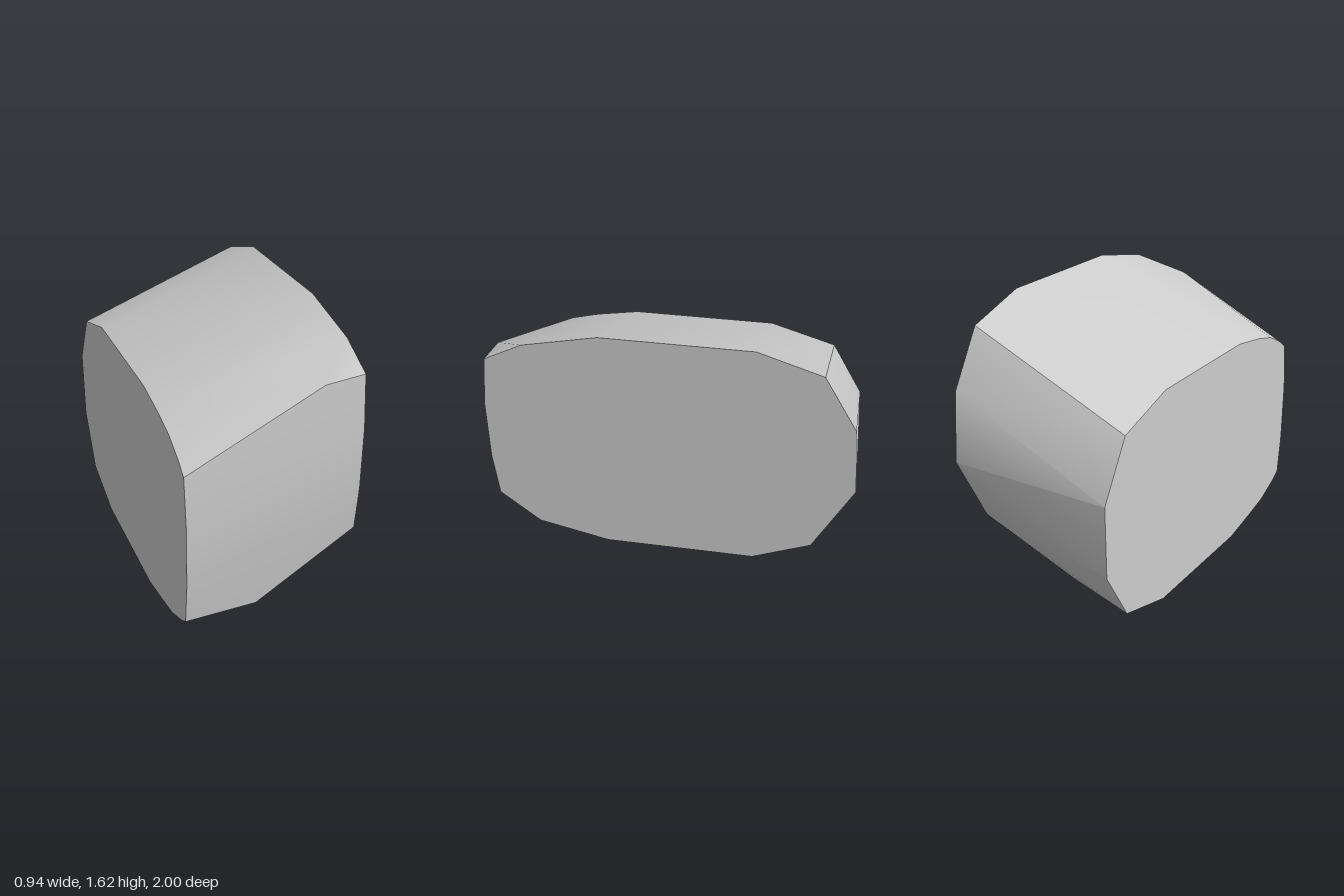
import * as THREE from 'three';
import { ConvexGeometry } from 'three/addons/geometries/ConvexGeometry.js';
import { toCreasedNormals } from 'three/addons/utils/BufferGeometryUtils.js';

// Cross-sections as [z, y] at a given x: a slanted block with cut corners
const sections = [
  { x: -0.47, points: [
    [0.36, 1.25], [0.6, 1.21], [0.76, 1.17], [0.9, 1.1], [0.97, 1.05], [1, 0.78], [1, 0.43],
    [0.975, 0.185], [0.91, 0.145], [0.76, 0.08], [0.6, 0.045], [0.36, 0],
    [-0.44, 0], [-0.8, 0.11], [-0.98, 0.42], [-0.99, 0.83], [-0.81, 1.14], [-0.44, 1.25],
  ] },
  // bulges of the lower faces
  { x: -0.08, points: [[0.975, 0.2], [0.76, 0.14], [0.36, 0.09], [-0.44, 0.09], [-0.74, 0.16]] },
  // bulge of the upper front edge and the lower back corner
  { x: 0.26, points: [[0.965, 1.41], [0.76, 0.27], [0.36, 0.19], [-0.44, 0.19], [-0.67, 0.21]] },
  { x: 0.47, points: [
    [0.36, 1.625], [0.76, 1.54], [0.97, 1.435], [1, 1.15], [1, 0.8],
    [0.975, 0.545], [0.755, 0.365], [0.36, 0.275],
    [-0.47, 0.275], [-0.79, 0.41], [-1, 0.82], [-0.965, 1.21], [-0.785, 1.515], [-0.44, 1.625],
  ] },
];

export function createModel() {
  const group = new THREE.Group();
  group.name = 'slantedBlock';

  const grey = new THREE.MeshStandardMaterial({ color: 0xcccccc });
  grey.name = 'light grey';

  // Convex skin around all sections, smooth over shallow edges
  const corners = sections.flatMap(({ x, points }) =>
    points.map(([z, y]) => new THREE.Vector3(x, y, z)));
  const skin = toCreasedNormals(new ConvexGeometry(corners), 0.5);

  const block = new THREE.Mesh(skin, grey);
  block.name = 'block';
  group.add(block);
  return group;
}
